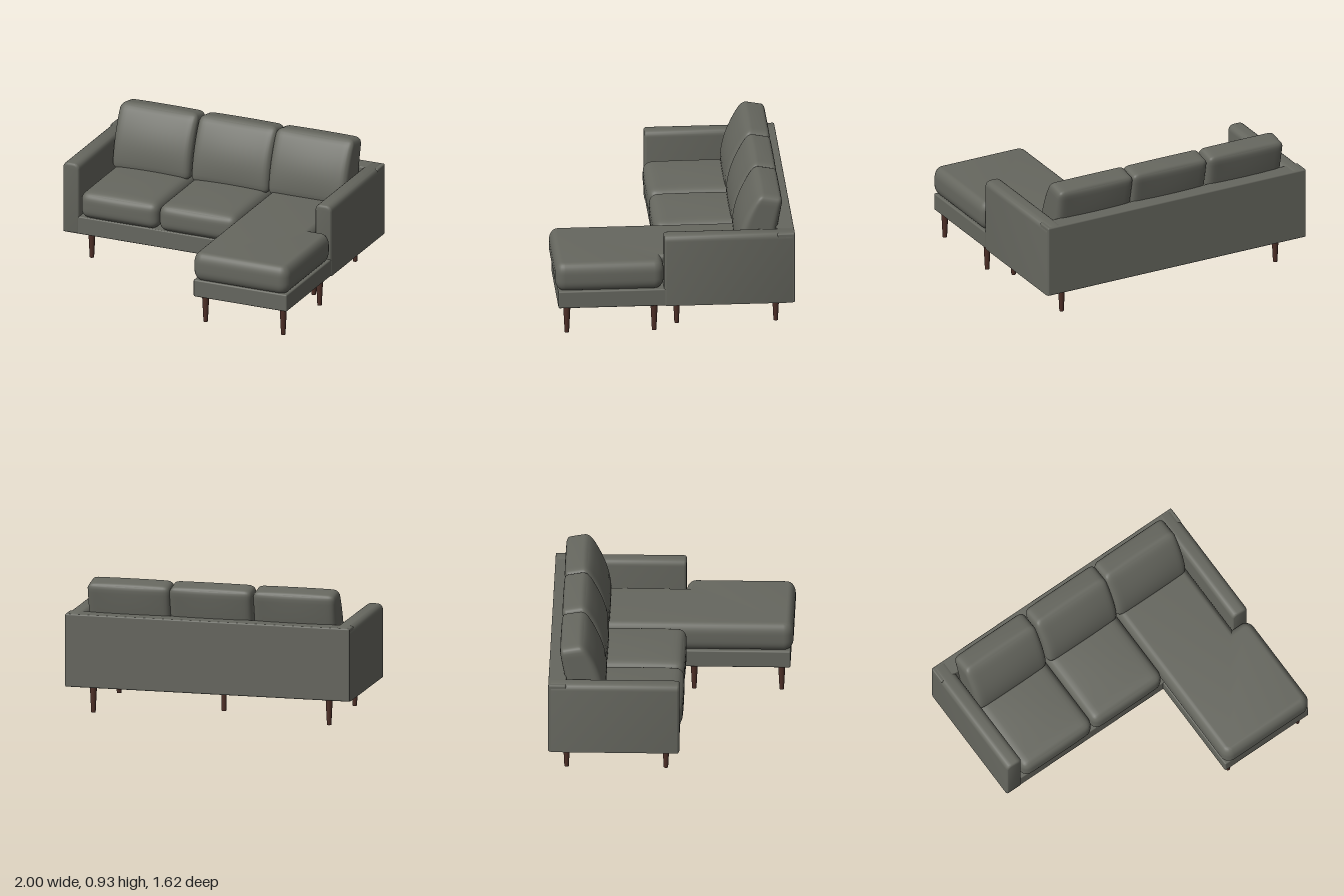
import * as THREE from 'three';
import { mergeVertices, toCreasedNormals } from 'three/addons/utils/BufferGeometryUtils.js';
import { RoundedBoxGeometry } from 'three/addons/geometries/RoundedBoxGeometry.js';

// Closed shape from [x, y, cornerRadius] points
function roundedShape(points) {
  const shape = new THREE.Shape();
  const n = points.length;
  points.forEach(([x, y, r], i) => {
    const p = new THREE.Vector2(x, y);
    const toward = ([a, b]) => new THREE.Vector2(a, b).sub(p).setLength(r).add(p);
    const a = r ? toward(points[(i + n - 1) % n]) : p;
    const b = r ? toward(points[(i + 1) % n]) : p;
    if (i === 0) shape.moveTo(a.x, a.y);
    else shape.lineTo(a.x, a.y);
    if (r) shape.quadraticCurveTo(x, y, b.x, b.y);
  });
  shape.closePath();
  return shape;
}

// Soft box with rounded edges and a swelling of its top/bottom and front/back
function softBox(w, h, d, r, swellY, swellZ) {
  const geo = new THREE.BoxGeometry(2, 2, 2, 22, 16, 22);
  geo.deleteAttribute('uv');
  geo.deleteAttribute('normal');
  const half = new THREE.Vector3(w / 2, h / 2, d / 2);
  const inner = half.clone().subScalar(r);
  const pos = geo.attributes.position;
  const p = new THREE.Vector3();
  const core = new THREE.Vector3();
  for (let i = 0; i < pos.count; i++) {
    p.fromBufferAttribute(pos, i);
    // crowd the grid lines towards the edges
    p.set(...p.toArray().map((v) => Math.sin(v * Math.PI / 2)));
    const [u, v, t] = p.toArray();
    p.multiply(half);
    core.copy(p).clamp(inner.clone().negate(), inner);
    p.sub(core).setLength(r).add(core);
    p.y += swellY * v * (1 - u * u) * (1 - t * t);
    p.z += swellZ * t * (1 - u * u) * (1 - v * v);
    pos.setXYZ(i, p.x, p.y, p.z);
  }
  const merged = mergeVertices(geo, 1e-5);
  merged.computeVertexNormals();
  return merged;
}

// Back cushion leaning backwards, narrower towards the top
function backCushionGeometry(width) {
  const h = 0.44, d = 0.24;
  const geo = softBox(width, h, d, 0.045, 0.006, 0.012);
  const pos = geo.attributes.position;
  for (let i = 0; i < pos.count; i++) {
    const t = pos.getY(i) / h + 0.5;
    const s = 0.5 - pos.getZ(i) / d;
    const front = -0.43 - 0.15 * t * t;
    const back = -0.66 - 0.08 * t;
    pos.setY(i, 0.49 + t * h - 0.03 * s * t);
    pos.setZ(i, front + (back - front) * s);
  }
  geo.computeVertexNormals();
  return geo;
}

export function createModel() {
  const sofa = new THREE.Group();
  sofa.name = 'sectionalSofa';
  const fabric = new THREE.MeshStandardMaterial({ color: 0x66675f });
  fabric.name = 'greyFabric';
  const wood = new THREE.MeshStandardMaterial({ color: 0x4d2f27 });
  wood.name = 'darkWood';

  const add = (name, geo, mat, x = 0, y = 0, z = 0) => {
    const mesh = new THREE.Mesh(geo, mat);
    mesh.name = name;
    mesh.position.set(x, y, z);
    sofa.add(mesh);
    return mesh;
  };
  // Box given by its min and max corners
  const block = (name, [x0, y0, z0], [x1, y1, z1], r) =>
    add(name, new RoundedBoxGeometry(x1 - x0, y1 - y0, z1 - z0, 3, r), fabric,
      (x0 + x1) / 2, (y0 + y1) / 2, (z0 + z1) / 2);

  // Frame
  block('seatBase', [-0.99, 0.2, -0.8], [0.98, 0.325, 0.07], 0.008);
  block('backPanel', [-0.998, 0.2, -0.81], [0.988, 0.702, -0.69], 0.01);
  block('chaiseBase', [0.295, 0.2, 0.05], [0.987, 0.322, 0.79], 0.01);

  // Arms: rounded top, softened front
  const b = 0.018;
  const armShape = roundedShape([
    [-0.06 + b, 0.2 + b, 0], [0.06 - b, 0.2 + b, 0],
    [0.06 - b, 0.705 - b, 0.025], [-0.06 + b, 0.705 - b, 0.025],
  ]);
  const armGeo = toCreasedNormals(new THREE.ExtrudeGeometry(armShape, {
    depth: 0.88 - 2 * b, bevelSize: b, bevelThickness: b, bevelSegments: 4, curveSegments: 6,
  }), 0.7);
  add('rightArm', armGeo, fabric, -0.94, 0, -0.805 + b);
  add('leftArm', armGeo, fabric, 0.93, 0, -0.805 + b);

  // Seat cushions
  const seatGeo = softBox(0.578, 0.19, 0.78, 0.06, 0.014, 0.006);
  for (const x of [-0.582, -0.002]) add('seatCushion', seatGeo, fabric, x, 0.417, -0.3);

  // L-shaped chaise cushion running beside the arm (outline inset by the bevel)
  const e = 0.05, t = 0.075;
  const outline = roundedShape([
    [0.29 + e, -0.81 + e, 0.02], [0.997 - e, -0.81 + e, 0.02],
    [0.997 - e, -0.075 - e, 0.02], [0.865 - e, -0.075 - e, 0],
    [0.865 - e, 0.69 - e, 0.02], [0.29 + e, 0.69 - e, 0.02],
  ]);
  const chaiseGeo = new THREE.ExtrudeGeometry(outline, {
    depth: 0.2 - 2 * t, bevelSize: e, bevelThickness: t, bevelSegments: 8, curveSegments: 6,
  });
  chaiseGeo.rotateX(-Math.PI / 2);
  add('chaiseCushion', toCreasedNormals(chaiseGeo, 0.7), fabric, 0, 0.32 + t, 0);

  // Back cushions
  const backGeo = backCushionGeometry(0.575);
  for (const x of [-0.585, 0, 0.57]) add('backCushion', backGeo, fabric, x, 0, 0);

  // Tapered legs and the straight centre support
  const legGeo = new THREE.CylinderGeometry(0.025, 0.015, 0.2, 20);
  const legSpots = [];
  for (const x of [-0.825, 0.82]) for (const z of [-0.02, -0.69]) legSpots.push([x, z]);
  for (const x of [0.36, 0.935]) for (const z of [0.73, 0.14]) legSpots.push([x, z]);
  for (const [x, z] of legSpots) add('leg', legGeo, wood, x, 0.11, z);
  add('centreLeg', new THREE.CylinderGeometry(0.017, 0.017, 0.21, 20), wood, -0.003, 0.105, -0.36);

  return sofa;
}
